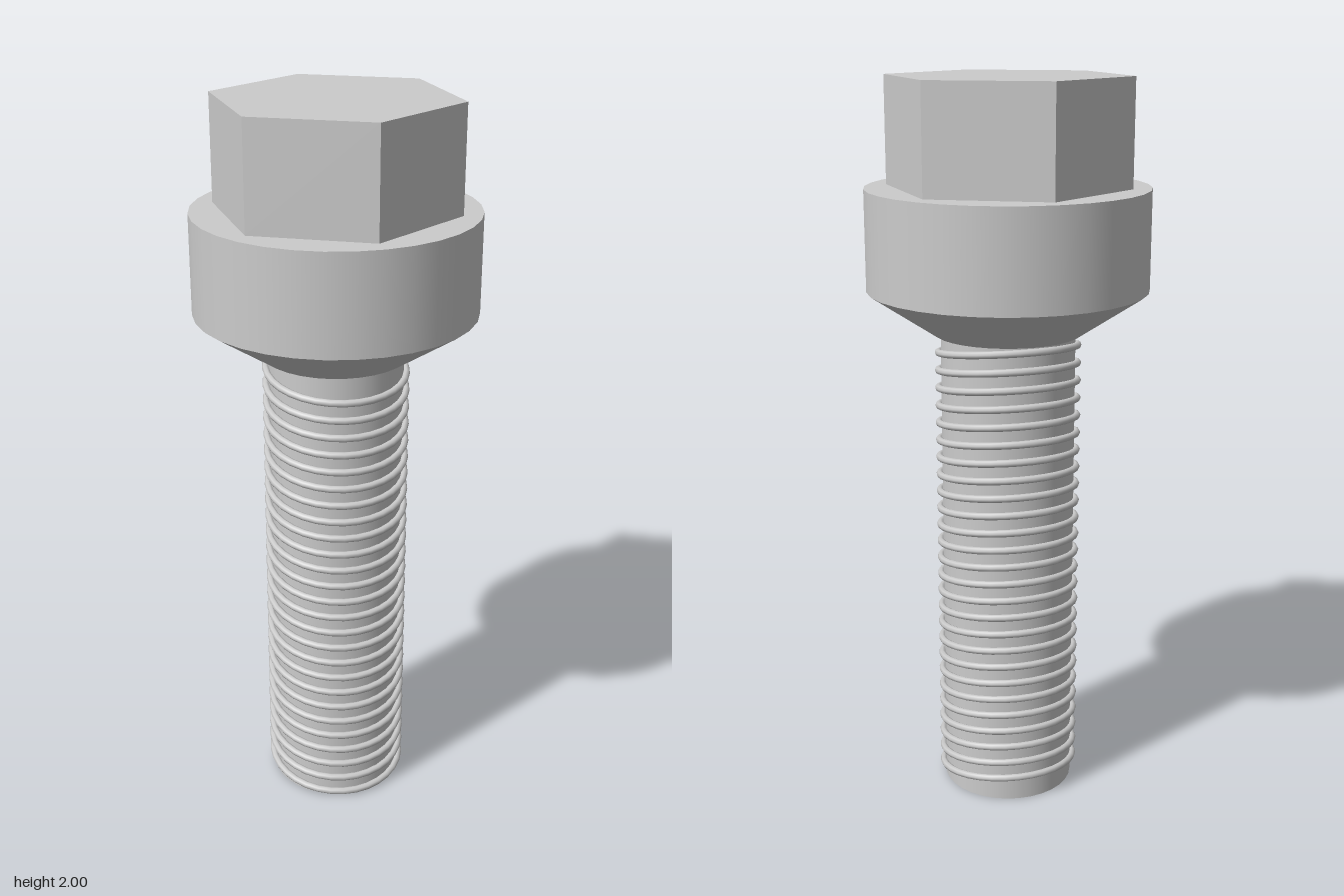
import * as THREE from 'three';

const steel = new THREE.MeshStandardMaterial({ color: 0xcccccc });
const facetedSteel = new THREE.MeshStandardMaterial({ color: 0xcccccc, flatShading: true });

// Upright cylinder or cone frustum between two heights
function turned(name, topRadius, bottomRadius, y0, y1, sides, material = steel) {
  const geometry = new THREE.CylinderGeometry(topRadius, bottomRadius, y1 - y0, sides);
  const mesh = new THREE.Mesh(geometry, material);
  mesh.name = name;
  mesh.position.y = (y0 + y1) / 2;
  return mesh;
}

// Stack of thin rings, all leaning down towards the front
function buildThread() {
  const thread = new THREE.Group();
  thread.name = 'thread';
  const ringCount = 26, firstY = 0.042, lastY = 1.28, tilt = 0.155;
  const ringGeometry = new THREE.TorusGeometry(0.19, 0.01, 8, 32);
  for (let i = 0; i < ringCount; i++) {
    const ring = new THREE.Mesh(ringGeometry, steel);
    ring.name = `threadRing${i + 1}`;
    ring.rotation.x = Math.PI / 2 + tilt;
    ring.position.y = THREE.MathUtils.lerp(firstY, lastY, i / (ringCount - 1));
    thread.add(ring);
  }
  return thread;
}

export function createModel() {
  const bolt = new THREE.Group();
  bolt.name = 'bolt';
  bolt.add(
    turned('shaft', 0.183, 0.183, 0, 1.33, 32),
    buildThread(),
    turned('conicalSeat', 0.38, 0.2, 1.325, 1.445, 32),
    turned('collar', 0.38, 0.38, 1.445, 1.715, 32),
    turned('hexHead', 0.33, 0.33, 1.715, 2, 6, facetedSteel),
  );
  return bolt;
}
